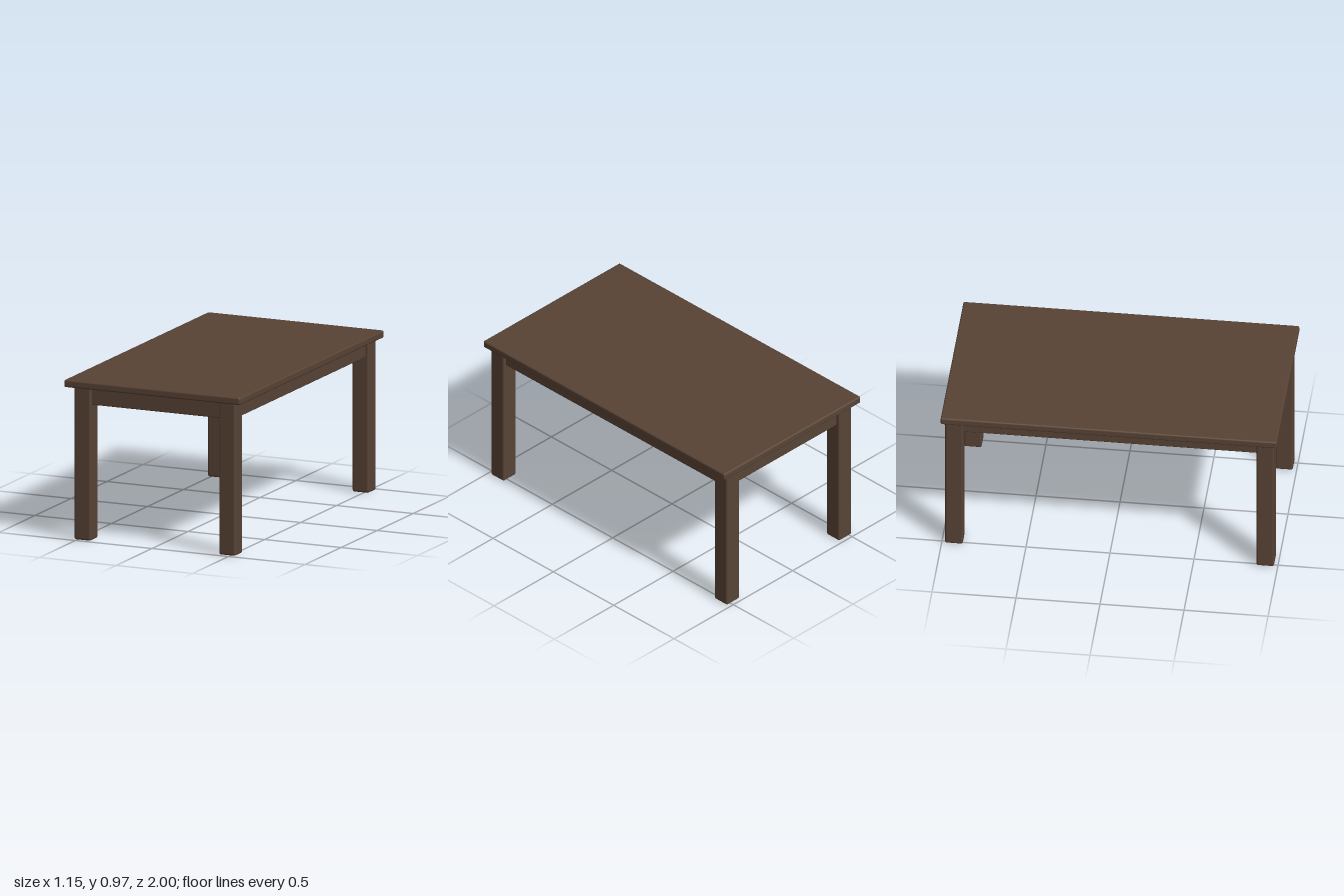
import * as THREE from 'three';
import { RoundedBoxGeometry } from 'three/addons/geometries/RoundedBoxGeometry.js';

export function createModel() {
  const table = new THREE.Group();
  table.name = 'table';
  const wood = new THREE.MeshStandardMaterial({ color: 0x584335 });
  wood.name = 'dark brown wood';

  // Softly rounded board spanning the given x, y and z ranges
  function board(name, [x0, x1], [y0, y1], [z0, z1], radius) {
    const geometry = new RoundedBoxGeometry(x1 - x0, y1 - y0, z1 - z0, 3, radius);
    const mesh = new THREE.Mesh(geometry, wood);
    mesh.position.set((x0 + x1) / 2, (y0 + y1) / 2, (z0 + z1) / 2);
    mesh.name = name;
    table.add(mesh);
  }

  board('tableTop', [-0.575, 0.575], [0.922, 0.967], [-1, 1], 0.01);

  // Square legs at the four corners, with the rails let into them
  const legX = { right: [-0.52, -0.412], left: [0.425, 0.533] };
  const legZ = { front: [0.872, 0.978], back: [-0.98, -0.874] };
  for (const [side, x] of Object.entries(legX)) {
    for (const [end, z] of Object.entries(legZ)) {
      board(`${end}${side === 'left' ? 'Left' : 'Right'}Leg`, x, [0, 0.93], z, 0.012);
    }
  }

  // Rails under the top, set slightly back from the outer leg faces
  const railY = [0.822, 0.93];
  for (const [side, [x0, x1]] of Object.entries(legX)) {
    board(`${side}Rail`, [x0 + 0.02, x1 - 0.02], railY, [-0.9, 0.9], 0.006);
  }
  for (const [end, [z0, z1]] of Object.entries(legZ)) {
    board(`${end}Rail`, [-0.44, 0.45], railY, [z0 + 0.02, z1 - 0.02], 0.006);
  }

  return table;
}
